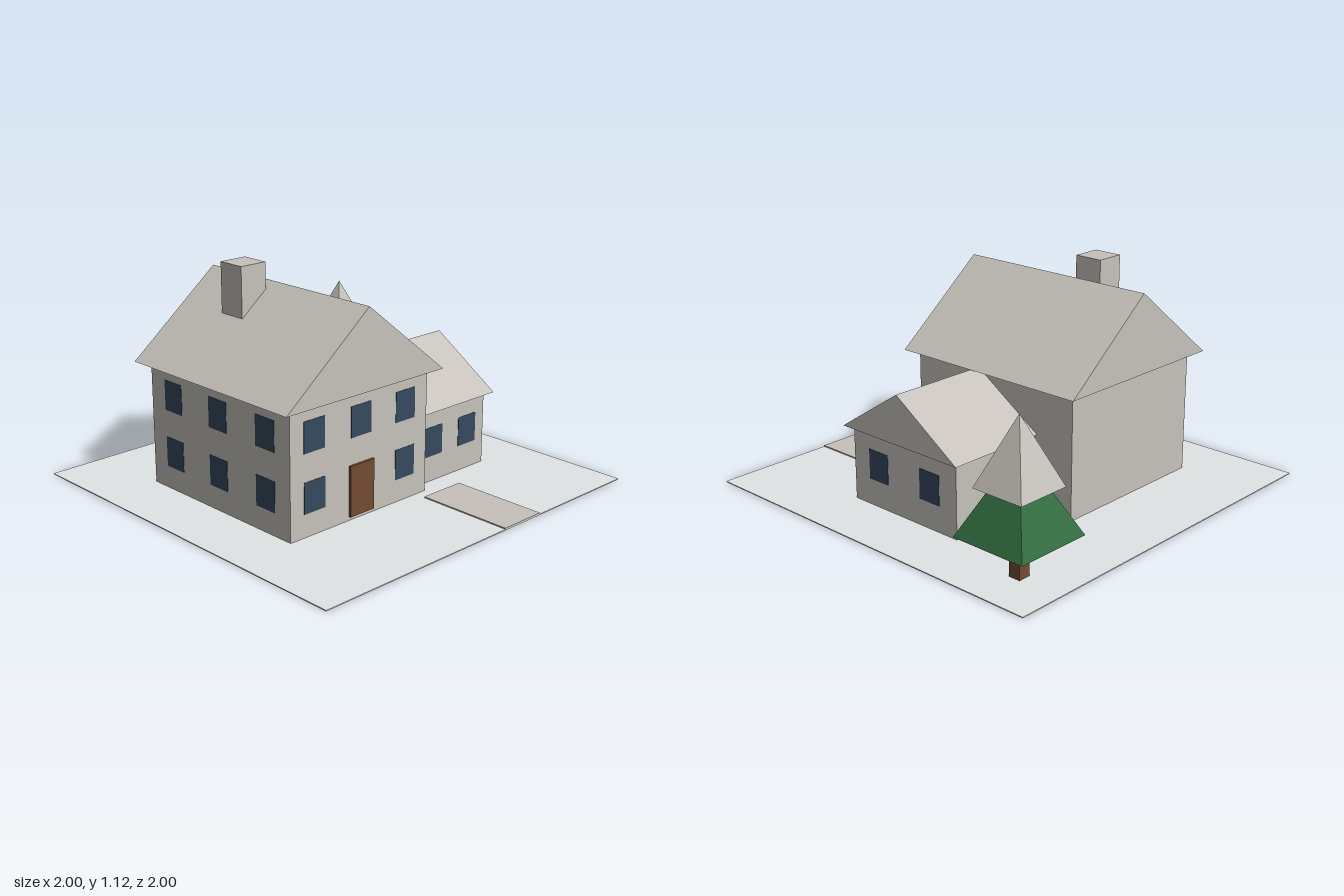
import * as THREE from 'three';

export function createModel() {
  const model = new THREE.Group();
  model.name = 'houseScene';

  const material = (name, color) => {
    const m = new THREE.MeshStandardMaterial({ color });
    m.name = name;
    return m;
  };
  const stone = material('warm grey', 0xc6c2bb);
  const snow = material('pale ground', 0xe0e5e6);
  const glass = material('window blue', 0x34495e);
  const wood = material('wood brown', 0x734b2f);
  const leaf = material('leaf green', 0x336d41);

  const add = (parent, name, geometry, mat, x = 0, y = 0, z = 0) => {
    const mesh = new THREE.Mesh(geometry, mat);
    mesh.name = name;
    mesh.position.set(x, y, z);
    parent.add(mesh);
    return mesh;
  };
  const group = (name) => {
    const g = new THREE.Group();
    g.name = name;
    model.add(g);
    return g;
  };

  // Box given by its lower and upper corners
  const block = (parent, name, mat, [x0, y0, z0], [x1, y1, z1]) =>
    add(parent, name, new THREE.BoxGeometry(x1 - x0, y1 - y0, z1 - z0), mat,
      (x0 + x1) / 2, (y0 + y1) / 2, (z0 + z1) / 2);

  // Solid gable roof, ridge along z, centred on its length
  const gable = (halfWidth, height, length) => {
    const shape = new THREE.Shape();
    shape.moveTo(-halfWidth, 0);
    shape.lineTo(halfWidth, 0);
    shape.lineTo(0, height);
    shape.closePath();
    return new THREE.ExtrudeGeometry(shape, { depth: length, bevelEnabled: false })
      .translate(0, 0, -length / 2);
  };

  // Square pyramid with flat faces
  const pyramid = (half, height) => {
    const g = new THREE.ConeGeometry(half * Math.SQRT2, height, 4)
      .rotateY(Math.PI / 4).translate(0, height / 2, 0).toNonIndexed();
    g.computeVertexNormals();
    return g;
  };

  // Thin window pane, turned to face along its wall
  const pane = (parent, x, y, z, turn) => {
    const mesh = add(parent, 'window', new THREE.BoxGeometry(0.128, 0.152, 0.004), glass, x, y, z);
    mesh.rotation.y = turn;
  };

  // Ground and path
  block(model, 'ground', snow, [-1, 0, -1], [1, 0.005, 1]);
  block(model, 'path', stone, [0.122, 0.003, 0.498], [0.373, 0.011, 1]);

  // Main house
  const house = group('mainHouse');
  block(house, 'walls', stone, [-0.687, 0.003, -0.56], [0.187, 0.628, 0.438]);
  add(house, 'roof', gable(0.497, 0.397, 1.098), stone, -0.25, 0.628, -0.063);
  block(house, 'chimney', stone, [-0.441, 0.75, -0.314], [-0.293, 1.123, -0.164]);
  block(house, 'door', wood, [-0.326, 0.024, 0.43], [-0.174, 0.276, 0.45]);
  for (const y of [0.195, 0.484]) {
    for (const i of [-1, 0, 1]) {
      if (i !== 0 || y > 0.3) pane(house, -0.25 + i * 0.291, y, 0.438, 0);
      pane(house, -0.687, y, -0.06 + i * 0.332, -Math.PI / 2);
    }
  }

  // Side wing
  const wing = group('sideWing');
  block(wing, 'wingWalls', stone, [0.18, 0.003, -0.311], [0.686, 0.38, 0.374]);
  add(wing, 'wingRoof', gable(0.378, 0.247, 0.567), stone, 0.4385, 0.38, 0.0315)
    .rotation.y = Math.PI / 2;
  for (const x of [0.313, 0.561]) pane(wing, x, 0.213, 0.374, 0);
  for (const z of [-0.137, 0.205]) pane(wing, 0.686, 0.213, z, Math.PI / 2);

  // Tree with a snowy top
  const tree = group('tree');
  tree.position.set(0.75, 0, -0.75);
  block(tree, 'trunk', wood, [-0.031, 0.003, -0.031], [0.031, 0.21, 0.031]);
  add(tree, 'lowerBranches', pyramid(0.198, 0.4), leaf, 0, 0.193, 0);
  add(tree, 'snowyTop', pyramid(0.139, 0.33), stone, 0, 0.417, 0);

  return model;
}
